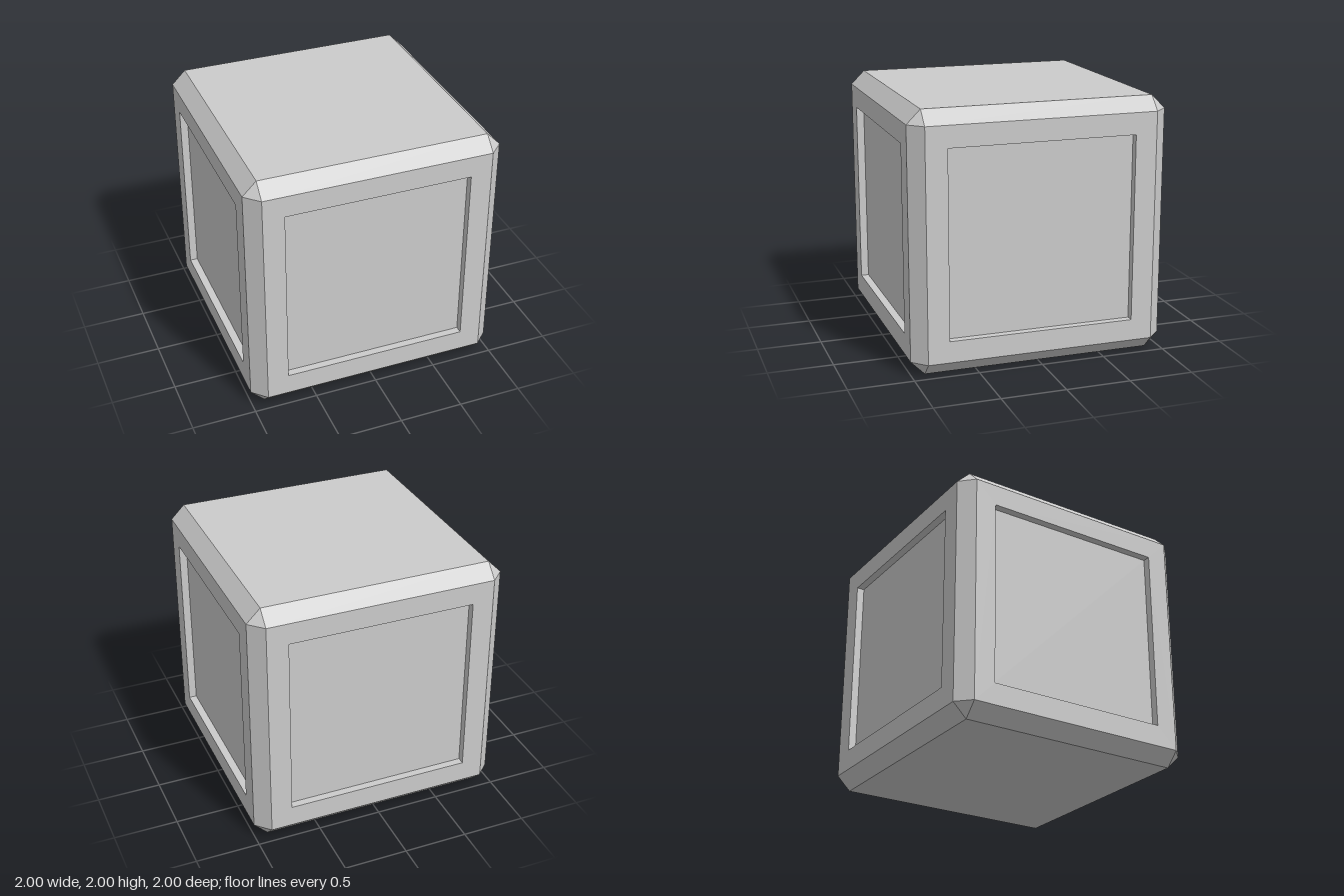
import * as THREE from 'three';
import { mergeGeometries } from 'three/addons/utils/BufferGeometryUtils.js';

const A = 0.893; // half width of the flat faces inside the chamfers
const R = 0.726; // half width of the recessed panels
const D = 0.94;  // distance of the recessed panels from the centre

const material = new THREE.MeshStandardMaterial({ color: 0xcccccc, flatShading: true });

// Flat convex polygon, corners counter-clockwise seen from outside
function polygon(...corners) {
  const points = [];
  for (let i = 1; i < corners.length - 1; i++) points.push(...corners[0], ...corners[i], ...corners[i + 1]);
  const geometry = new THREE.BufferGeometry();
  geometry.setAttribute('position', new THREE.Float32BufferAttribute(points, 3));
  geometry.computeVertexNormals();
  return geometry;
}

function square(half, z) {
  return polygon([-half, -half, z], [half, -half, z], [half, half, z], [-half, half, z]);
}

function add(parent, name, geometry) {
  const mesh = new THREE.Mesh(geometry, material);
  mesh.name = name;
  parent.add(mesh);
}

function squarePath(path, half) {
  path.moveTo(-half, -half).lineTo(half, -half).lineTo(half, half).lineTo(-half, half).closePath();
  return path;
}

// One upright side facing +z, with the chamfers and corners on its +x end
function createSide() {
  const side = new THREE.Group();

  // Border around the recess
  const border = squarePath(new THREE.Shape(), A);
  border.holes.push(squarePath(new THREE.Path(), R));
  add(side, 'sideFrame', new THREE.ShapeGeometry(border).translate(0, 0, 1));

  // Recess walls and sunken panel
  const walls = [];
  for (let i = 0; i < 4; i++) {
    walls.push(polygon([-R, -R, D], [-R, -R, 1], [R, -R, 1], [R, -R, D]).rotateZ(i * Math.PI / 2));
  }
  add(side, 'recessWalls', mergeGeometries(walls));
  add(side, 'recessedPanel', square(R, D));

  // Bevelled edges
  add(side, 'topBevel', polygon([-A, A, 1], [A, A, 1], [A, 1, A], [-A, 1, A]));
  add(side, 'bottomBevel', polygon([-A, -1, A], [A, -1, A], [A, -A, 1], [-A, -A, 1]));
  add(side, 'uprightBevel', polygon([A, -A, 1], [1, -A, A], [1, A, A], [A, A, 1]));

  // Triangular corners
  add(side, 'topCorner', polygon([A, A, 1], [1, A, A], [A, 1, A]));
  add(side, 'bottomCorner', polygon([A, -A, 1], [A, -1, A], [1, -A, A]));
  return side;
}

export function createModel() {
  const model = new THREE.Group();
  model.name = 'panelledCube';
  const body = new THREE.Group();
  body.name = 'body';
  body.position.y = 1;
  model.add(body);

  // Four identical sides
  ['front', 'left', 'back', 'right'].forEach((name, i) => {
    const side = createSide();
    side.name = name + 'Side';
    side.rotation.y = i * Math.PI / 2;
    body.add(side);
  });

  // Plain top and bottom
  add(body, 'topFace', square(A, 1).rotateX(-Math.PI / 2));
  add(body, 'bottomFace', square(A, 1).rotateX(Math.PI / 2));
  return model;
}
